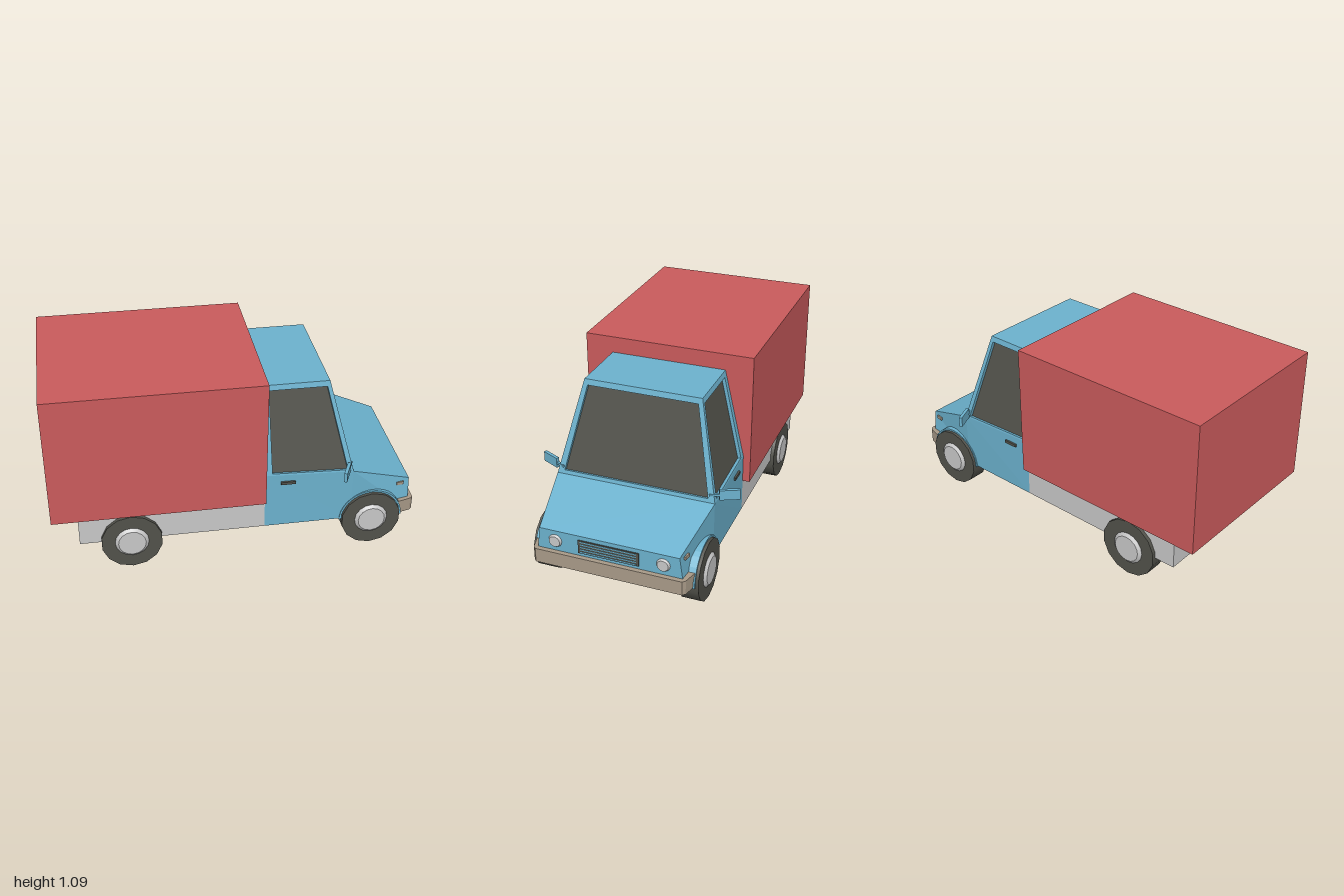
import * as THREE from 'three';

const mat = (name, color) => {
  const m = new THREE.MeshStandardMaterial({ color });
  m.name = name;
  return m;
};

// Faces from [a, b, c, d] corner lists, counter-clockwise from outside
function quads(list) {
  const pos = [];
  for (const [a, b, c, d] of list) for (const p of [a, b, c, a, c, d]) pos.push(...p);
  const g = new THREE.BufferGeometry();
  g.setAttribute('position', new THREE.Float32BufferAttribute(pos, 3));
  g.computeVertexNormals();
  return g;
}

// Closed loft through rings of four corners
function loft(rings) {
  const faces = [];
  for (let i = 0; i < rings.length - 1; i++) {
    for (let j = 0; j < 4; j++) {
      const k = (j + 1) % 4;
      faces.push([rings[i][j], rings[i][k], rings[i + 1][k], rings[i + 1][j]]);
    }
  }
  faces.push([...rings[0]].reverse(), rings[rings.length - 1]);
  return quads(faces);
}

export function createModel() {
  const root = new THREE.Group();
  const red = mat('cargo red', 0xca5b5c);
  const blue = mat('cab blue', 0x6cb2ce);
  const grey = mat('light grey', 0xc8c8c8);
  const dark = mat('dark rubber and glass', 0x52524b);
  const tan = mat('bumper tan', 0xa89a88);

  const add = (name, geo, material, x = 0, y = 0, z = 0, parent = root) => {
    const m = new THREE.Mesh(geo, material);
    m.name = name;
    m.position.set(x, y, z);
    parent.add(m);
    return m;
  };
  const box = (...s) => new THREE.BoxGeometry(...s);

  // Cargo box and chassis
  add('cargoBox', box(1.15, 0.74, 0.95), red, -0.425, 0.72, 0);
  add('chassis', box(1.01, 0.18, 0.87), grey, -0.355, 0.26, 0);

  // Lower cab with sloping, narrowing bonnet
  const ring = (x, top, zTop, zBottom) =>
    [[x, 0.17, zBottom], [x, 0.17, -zBottom], [x, top, -zTop], [x, top, zTop]];
  add('lowerCab', loft([
    ring(0.15, 0.505, 0.435, 0.435),
    ring(0.635, 0.488, 0.44, 0.435),
    ring(0.975, 0.365, 0.38, 0.405),
  ]), blue);

  // Framed window: border ring, recess walls and sunken glass
  function framedWindow(name, corners, [u0, u1, v0, v1], depth = 0.018) {
    const [a, b, c, d] = corners.map(p => new THREE.Vector3(...p));
    const at = (u, v) => a.clone().lerp(b, u).lerp(d.clone().lerp(c, u), v);
    const n = b.clone().sub(a).cross(d.clone().sub(a)).normalize();
    const hole = [at(u0, v0), at(u1, v0), at(u1, v1), at(u0, v1)];
    const sunk = hole.map(p => p.clone().addScaledVector(n, -depth).toArray());
    const rim = hole.map(p => p.toArray());
    const faces = [];
    for (let i = 0; i < 4; i++) {
      const j = (i + 1) % 4;
      faces.push([corners[i], corners[j], rim[j], rim[i]], [rim[i], rim[j], sunk[j], sunk[i]]);
    }
    add(name + 'Frame', quads(faces), blue);
    add(name + 'Glass', quads([sunk]), dark);
  }

  // Upper cab
  const corner = (s) => ({
    rearLow: [0.15, 0.505, 0.435 * s], frontLow: [0.635, 0.488, 0.44 * s],
    frontTop: [0.505, 1, 0.322 * s], rearTop: [0.15, 1, 0.322 * s],
  });
  const L = corner(1), R = corner(-1);
  framedWindow('windscreen', [L.frontLow, R.frontLow, R.frontTop, L.frontTop], [0.04, 0.96, 0.04, 0.94]);
  framedWindow('leftWindow', [L.rearLow, L.frontLow, L.frontTop, L.rearTop], [0.08, 0.94, 0.02, 0.94]);
  framedWindow('rightWindow', [R.frontLow, R.rearLow, R.rearTop, R.frontTop], [0.06, 0.92, 0.02, 0.94]);
  add('roofAndCabBack', quads([
    [L.rearTop, L.frontTop, R.frontTop, R.rearTop],
    [R.rearLow, L.rearLow, L.rearTop, R.rearTop],
  ]), blue);

  // Wrap-around bumper, outlined from above
  const outline = new THREE.Shape([
    [0.91, -0.435], [0.985, -0.415], [1, -0.4], [1, 0.4], [0.985, 0.415], [0.91, 0.435],
  ].map(p => new THREE.Vector2(...p)));
  const bumper = new THREE.ExtrudeGeometry(outline, { depth: 0.08, bevelEnabled: false });
  bumper.rotateX(-Math.PI / 2);
  add('bumper', bumper, tan, 0, 0.168, 0);

  // Grille with thin slats
  add('grille', box(0.01, 0.076, 0.33), dark, 0.976, 0.304, 0);
  for (let i = 0; i < 5; i++) {
    add('grilleSlat', box(0.004, 0.006, 0.305), blue, 0.981, 0.274 + i * 0.015, 0);
  }

  // Wheel arch lip outline
  const arch = new THREE.Shape();
  arch.absarc(0, 0, 0.178, 0, Math.PI, false);
  arch.absarc(0, 0, 0.168, Math.PI, 0, true);

  const tireGeo = new THREE.CylinderGeometry(0.167, 0.167, 0.1, 14).rotateX(Math.PI / 2);
  const lampGeo = new THREE.CylinderGeometry(0.03, 0.038, 0.014, 16).rotateZ(-Math.PI / 2);

  for (const s of [1, -1]) {
    const side = s > 0 ? 'left' : 'right';

    // Wheels with slightly domed hub caps
    for (const [end, x] of [['Front', 0.75], ['Rear', -0.58]]) {
      const wheel = new THREE.Group();
      wheel.name = side + end + 'Wheel';
      wheel.position.set(x, 0.167, 0.405 * s);
      root.add(wheel);
      add('tire', tireGeo, dark, 0, 0, 0, wheel);
      const hub = new THREE.CylinderGeometry(0.075, 0.092, 0.014, 16).rotateX(s * Math.PI / 2);
      add('hubCap', hub, grey, 0, 0, 0.057 * s, wheel);
    }
    const lip = new THREE.ExtrudeGeometry(arch, { depth: 0.08, bevelEnabled: false, curveSegments: 10 });
    add(side + 'WheelArch', lip, blue, 0.75, 0.165, s > 0 ? 0.36 : -0.44);

    // Lamps, door handle and mirror
    add(side + 'Headlight', lampGeo, grey, 0.98, 0.306, 0.294 * s);
    const signal = add(side + 'Signal', box(0.04, 0.018, 0.009), tan, 0.921, 0.346, 0.397 * s);
    signal.rotation.y = 0.16 * s;
    add(side + 'DoorHandle', box(0.08, 0.016, 0.016), dark, 0.275, 0.453, 0.439 * s);
    const mirror = new THREE.Group();
    mirror.name = side + 'Mirror';
    mirror.position.set(0.582, 0.528, 0.5 * s);
    mirror.rotation.y = -0.44 * s;
    root.add(mirror);
    add('mirrorPlate', box(0.018, 0.056, 0.106), blue, 0, 0, 0, mirror);
    add('mirrorStalk', box(0.014, 0.012, 0.06), blue, 0, 0, -0.075 * s, mirror);
  }

  return root;
}
